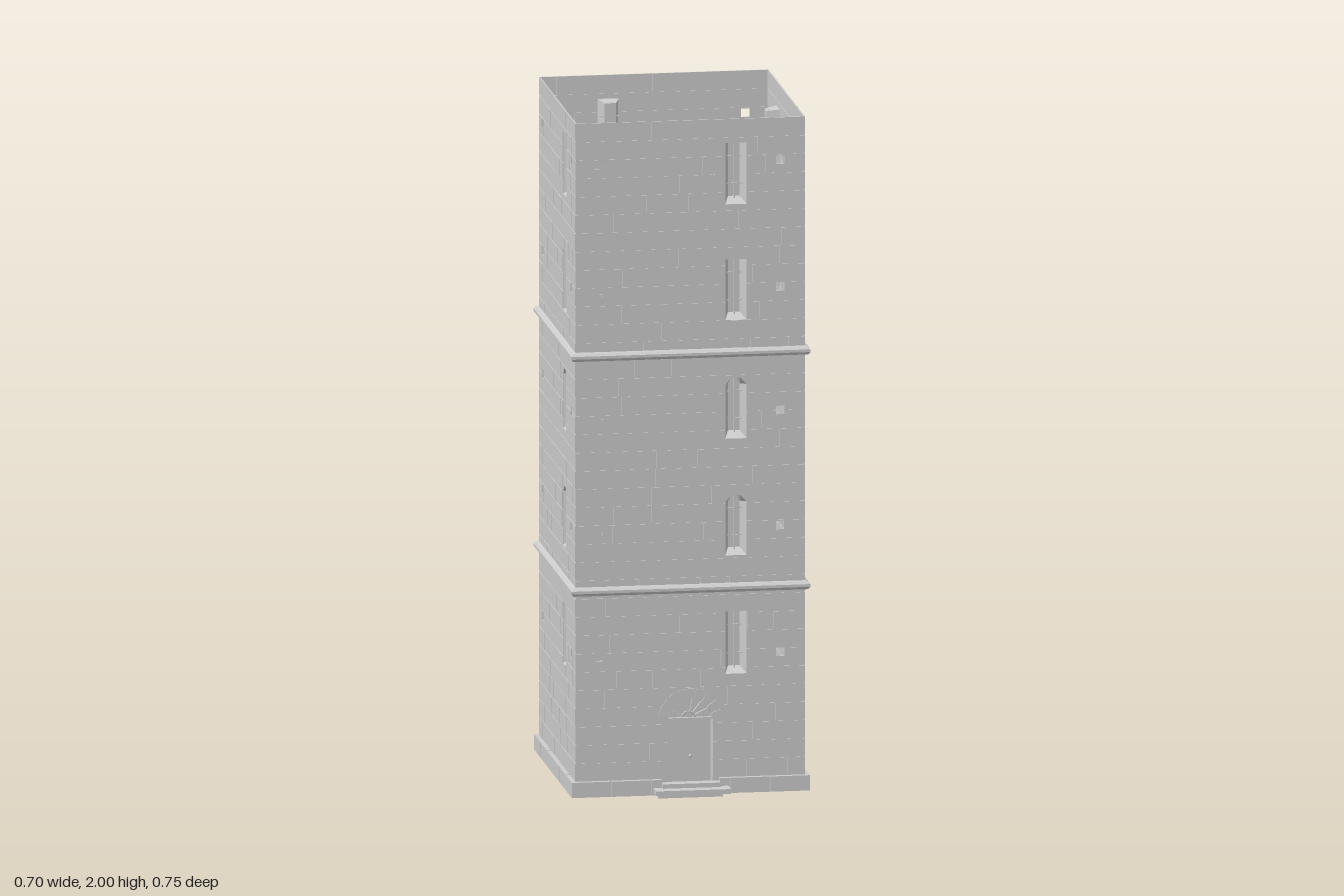
import * as THREE from 'three';
import { mergeGeometries } from 'three/addons/utils/BufferGeometryUtils.js';

const HALF = 0.3345;                 // distance of each wall sheet from the tower axis
const BASE = 0.01, TOP = 2;
const WIN_U = 0.134;                 // window centre along the wall
const WINDOWS = [                    // bottom, top, pointed head
  [0.36, 0.545, false], [0.71, 0.888, true], [1.055, 1.235, true],
  [1.405, 1.585, false], [1.748, 1.93, false],
];
const HOLES_Y = [0.42, 0.795, 1.135, 1.5, 1.875];
const HOLES_U = [-0.268, 0.263];
const HOLE = 0.0125;
const DOOR = { half: 0.066, bottom: 0.035, spring: 0.225, depth: 0.038 };

const stone = new THREE.MeshStandardMaterial({ color: 0xcccccc, side: THREE.DoubleSide });
stone.name = 'pale stone';

function rng(seed) {
  return () => (seed = (seed * 16807) % 2147483647) / 2147483647;
}

function add(parent, name, geometry) {
  const mesh = new THREE.Mesh(geometry, stone);
  mesh.name = name;
  parent.add(mesh);
  return mesh;
}

// Box given by its minimum and maximum corners
function box(x0, x1, y0, y1, z0, z1) {
  return new THREE.BoxGeometry(x1 - x0, y1 - y0, z1 - z0)
    .translate((x0 + x1) / 2, (y0 + y1) / 2, (z0 + z1) / 2);
}

// Flat-sided recess between two outlines, closed by a panel at the back
function recess(outer, inner, z0, z1) {
  const pos = [];
  outer.forEach((a, i) => {
    const j = (i + 1) % outer.length, b = outer[j], c = inner[i], d = inner[j];
    pos.push(a[0], a[1], z0, c[0], c[1], z1, b[0], b[1], z0);
    pos.push(b[0], b[1], z0, c[0], c[1], z1, d[0], d[1], z1);
  });
  for (let i = 1; i < inner.length - 1; i++) {
    for (const p of [inner[0], inner[i], inner[i + 1]]) pos.push(p[0], p[1], z1);
  }
  const g = new THREE.BufferGeometry();
  g.setAttribute('position', new THREE.Float32BufferAttribute(pos, 3));
  g.computeVertexNormals();
  return g;
}

const rect = (u0, u1, v0, v1) => [[u0, v0], [u1, v0], [u1, v1], [u0, v1]];

function windowOutline(half, v0, v1, pointed) {
  const l = WIN_U - half, r = WIN_U + half;
  return pointed
    ? [[l, v0], [r, v0], [r, v1 - 0.02], [WIN_U + half * 0.4, v1], [WIN_U - half * 0.4, v1], [l, v1 - 0.02]]
    : rect(l, r, v0, v1);
}

function doorOutline() {
  const pts = [[-DOOR.half, DOOR.bottom], [DOOR.half, DOOR.bottom]];
  for (let i = 0; i <= 12; i++) {
    const a = (i / 12) * Math.PI;
    pts.push([Math.cos(a) * DOOR.half, DOOR.spring + Math.sin(a) * DOOR.half]);
  }
  return pts;
}

// Remove a list of openings from a rectangle, giving smaller rectangles
function cut(r, openings) {
  let parts = [r];
  for (const [a0, a1, b0, b1] of openings) {
    parts = parts.flatMap(([u0, u1, v0, v1]) => {
      if (a0 >= u1 || a1 <= u0 || b0 >= v1 || b1 <= v0) return [[u0, u1, v0, v1]];
      const m0 = Math.max(v0, b0), m1 = Math.min(v1, b1);
      return [[u0, u1, v0, m0], [u0, u1, m1, v1], [u0, a0, m0, m1], [a1, u1, m0, m1]]
        .filter((p) => p[1] - p[0] > 1e-4 && p[3] - p[2] > 1e-4);
    });
  }
  return parts;
}

// Thin courses of blocks standing just proud of the wall sheet on both sides
function blockwork(openings, seed) {
  const rand = rng(seed), parts = [], joint = 0.0012;
  const courses = 36, h = (TOP - 0.055) / courses;
  for (let c = 0; c < courses; c++) {
    const v0 = 0.055 + c * h;
    let u = -HALF;
    while (u < HALF - 0.001) {
      let end = u + 0.06 + rand() * 0.08;
      if (end > HALF - 0.04) end = HALF;
      const proud = 0.0015 + rand() * 0.0012;
      for (const p of cut([u + joint, end - joint, v0 + joint, v0 + h - (c < courses - 1 ? joint : 0)], openings)) {
        parts.push(box(p[0], p[1], p[2], p[3], HALF - 0.002, HALF + proud));
      }
      u = end;
    }
  }
  return mergeGeometries(parts);
}

function buildWindow(parent, [v0, v1, pointed]) {
  const g = new THREE.Group();
  g.name = 'window';
  parent.add(g);
  add(g, 'windowReveal', recess(
    windowOutline(0.031, v0, v1, pointed),
    windowOutline(0.017, v0 + 0.016, v1 - 0.006, pointed), HALF, HALF - 0.04));
  // Glazing bars
  const z = HALF - 0.031, bars = [box(WIN_U - 0.0015, WIN_U + 0.0015, v0 + 0.012, v1 - 0.004, z - 0.0015, z + 0.0015)];
  for (const t of [0.3, 0.75]) {
    const y = v0 + (v1 - v0) * t;
    bars.push(box(WIN_U - 0.026, WIN_U + 0.026, y - 0.0015, y + 0.0015, z - 0.0015, z + 0.0015));
  }
  add(g, 'glazingBars', mergeGeometries(bars));
}

function buildDoor(parent) {
  const g = new THREE.Group();
  g.name = 'doorway';
  parent.add(g);
  const outline = doorOutline(), back = HALF - DOOR.depth;
  add(g, 'doorRecess', recess(outline, outline, HALF, back));
  add(g, 'doorLeaf', box(-0.062, 0.062, DOOR.bottom, DOOR.spring - 0.004, back, back + 0.006));
  add(g, 'transom', box(-DOOR.half, DOOR.half, DOOR.spring - 0.004, DOOR.spring + 0.003, back, back + 0.012));
  add(g, 'doorKnob', new THREE.SphereGeometry(0.005, 10, 8).translate(0.005, 0.115, back + 0.009));
  // Fanlight: radial bars around a small half ring
  const bars = [];
  for (let i = 1; i < 7; i++) {
    bars.push(box(0.018, DOOR.half, -0.002, 0.002, 0, 0.008).rotateZ((i / 7) * Math.PI));
  }
  bars.push(new THREE.TorusGeometry(0.02, 0.003, 6, 14, Math.PI).translate(0, 0, 0.004));
  add(g, 'fanlight', mergeGeometries(bars).translate(0, DOOR.spring, back));
  // Arch stones
  const stones = [], n = 9;
  for (let i = 0; i < n; i++) {
    const a0 = (i / n) * Math.PI + 0.012, a1 = ((i + 1) / n) * Math.PI - 0.012;
    const s = new THREE.Shape();
    s.absarc(0, 0, 0.095, a0, a1, false);
    s.absarc(0, 0, 0.0655, a1, a0, true);
    stones.push(new THREE.ExtrudeGeometry(s, { depth: 0.006, bevelEnabled: false, curveSegments: 3 }));
  }
  add(g, 'archStones', mergeGeometries(stones).translate(0, DOOR.spring, HALF - 0.001));
  // Steps
  add(g, 'stepFoot', box(-0.095, 0.095, 0, 0.018, HALF - 0.002, HALF + 0.012));
  add(g, 'lowerStep', box(-0.11, 0.11, 0.018, 0.032, HALF - 0.002, 0.398));
  add(g, 'upperStep', box(-0.085, 0.085, 0.032, 0.045, HALF - 0.004, 0.364));
}

function buildSide(index) {
  const side = new THREE.Group();
  side.name = ['frontSide', 'leftSide', 'backSide', 'rightSide'][index];
  const hasDoor = index === 0;
  const shape = new THREE.Shape(rect(-HALF, HALF, BASE, TOP).map((p) => new THREE.Vector2(...p)));
  const pierce = (pts) => shape.holes.push(new THREE.Path(pts.map((p) => new THREE.Vector2(...p))));
  const openings = [];
  for (const w of WINDOWS) {
    pierce(windowOutline(0.031, ...w));
    openings.push([WIN_U - 0.031, WIN_U + 0.031, w[0], w[1]]);
    buildWindow(side, w);
  }
  for (const y of HOLES_Y) for (const u of HOLES_U) {
    const r = [u - HOLE, u + HOLE, y - HOLE, y + HOLE];
    pierce(rect(...r));
    openings.push(r);
  }
  if (hasDoor) {
    pierce(doorOutline());
    openings.push([-DOOR.half, DOOR.half, DOOR.bottom, DOOR.spring + DOOR.half]);
    buildDoor(side);
  }
  add(side, 'wallSheet', new THREE.ShapeGeometry(shape).translate(0, 0, HALF));
  add(side, 'blockwork', blockwork(openings, 101 + index * 977));
  // Plinth stones
  const plinth = [], n = 6, w = 0.7 / n;
  for (let i = 0; i < n; i++) {
    const u0 = -0.349 + i * w, u1 = Math.min(u0 + w - 0.002, 0.349);
    const gap = hasDoor ? [[-0.085, 0.085, 0, 1]] : [];
    for (const p of cut([u0, u1, BASE, 0.055], gap)) plinth.push(box(...p, HALF - 0.001, 0.349));
  }
  add(side, 'plinth', mergeGeometries(plinth));
  side.rotation.y = index * Math.PI / 2;
  return side;
}

// Square moulding running round the tower
function stringCourse(y) {
  const profile = [[0.3345, -0.014], [0.344, -0.012], [0.35, -0.004], [0.35, 0.004], [0.344, 0.011], [0.3345, 0.014]]
    .map(([r, v]) => new THREE.Vector2(r * Math.SQRT2, v));
  const g = new THREE.LatheGeometry(profile, 4).rotateY(Math.PI / 4).translate(0, y, 0).toNonIndexed();
  g.computeVertexNormals();
  return g;
}

export function createModel() {
  const model = new THREE.Group();
  model.name = 'stoneTower';
  const tower = new THREE.Group();
  tower.name = 'tower';
  tower.position.z = -0.026;
  model.add(tower);
  for (let i = 0; i < 4; i++) tower.add(buildSide(i));
  for (const y of [0.616, 1.31]) add(tower, 'stringCourse', stringCourse(y));
  return model;
}
